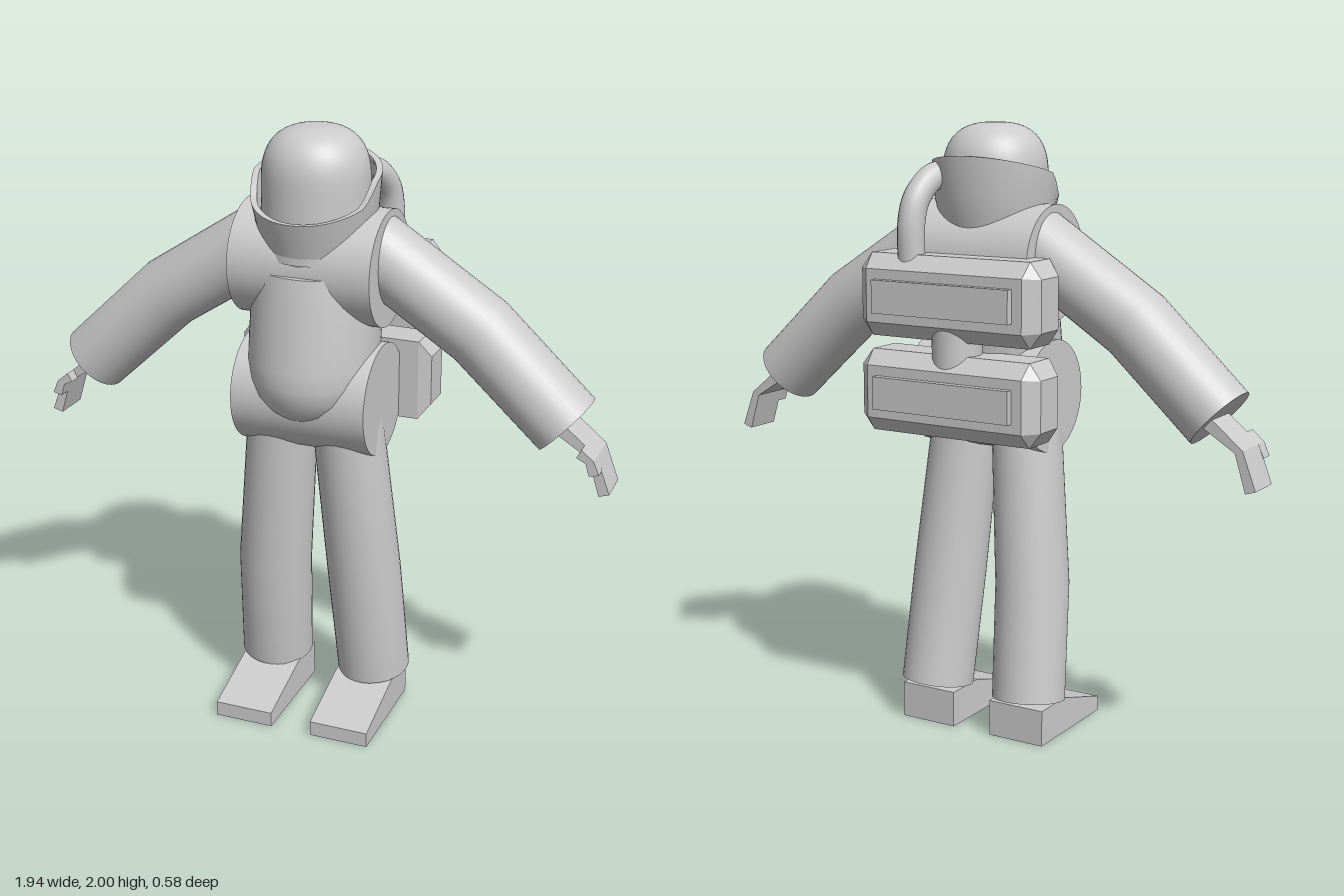
import * as THREE from 'three';
import { toCreasedNormals } from 'three/addons/utils/BufferGeometryUtils.js';
import { ConvexGeometry } from 'three/addons/geometries/ConvexGeometry.js';

const material = new THREE.MeshStandardMaterial({ color: 0xcccccc });
const V = (x, y, z) => new THREE.Vector3(x, y, z);
const P = (list) => list.map(([x, y]) => new THREE.Vector2(x, y));

function add(parent, name, geometry, x = 0, y = 0, z = 0) {
  const mesh = new THREE.Mesh(geometry, material);
  mesh.name = name;
  mesh.position.set(x, y, z);
  parent.add(mesh);
  return mesh;
}

// Capped round limb along straight segments, mitred at each joint
function limb(points, radii, sides = 32) {
  const n = points.length;
  const dirs = points.slice(1).map((p, i) => p.clone().sub(points[i]).normalize());
  const u = V(0, 0, 1).cross(dirs[0]).normalize();
  const v = dirs[0].clone().cross(u);
  const pos = [], index = [];
  points.forEach((p, i) => {
    const before = dirs[Math.max(i - 1, 0)], after = dirs[Math.min(i, n - 2)];
    const normal = before.clone().add(after).normalize();
    for (let j = 0; j < sides; j++) {
      const a = (j / sides) * Math.PI * 2;
      const q = u.clone().multiplyScalar(Math.cos(a) * radii[i]).addScaledVector(v, Math.sin(a) * radii[i]);
      q.addScaledVector(before, -q.dot(normal) / before.dot(normal)).add(p);
      pos.push(q.x, q.y, q.z);
    }
  });
  const first = n * sides, last = first + 1;
  pos.push(...points[0].toArray(), ...points[n - 1].toArray());
  for (let j = 0; j < sides; j++) {
    const k = (j + 1) % sides, end = (n - 1) * sides;
    for (let i = 0; i < n - 1; i++) {
      const a = i * sides + j, b = i * sides + k;
      index.push(a, b, b + sides, a, b + sides, a + sides);
    }
    index.push(first, k, j, last, end + j, end + k);
  }
  const g = new THREE.BufferGeometry();
  g.setAttribute('position', new THREE.Float32BufferAttribute(pos, 3));
  g.setIndex(index);
  return toCreasedNormals(g, 0.7);
}

// Outline in x, y given thickness from z0 to z1
function plate(outline, z0, z1) {
  const g = new THREE.ExtrudeGeometry(new THREE.Shape(P(outline)), { depth: z1 - z0, bevelEnabled: false });
  return g.translate(0, 0, z0);
}

function crossCylinder(radius, width) {
  return new THREE.CylinderGeometry(radius, radius, width, 48).rotateZ(Math.PI / 2);
}

// Round torso leaning forward into a domed belly
function torsoGeometry() {
  const g = new THREE.LatheGeometry(P([[0, 1.05], [0.05, 1.055], [0.1, 1.075], [0.15, 1.115], [0.185, 1.16],
    [0.203, 1.21], [0.21, 1.27], [0.21, 1.56], [0, 1.56]]), 48);
  const p = g.attributes.position;
  for (let i = 0; i < p.count; i++) p.setZ(i, p.getZ(i) + 0.025 + (1.56 - p.getY(i)) * 0.16);
  return toCreasedNormals(g, 0.7);
}

// Helmet: cylinder with a soft squared-off dome
function helmetGeometry() {
  const pts = [[0.17, 1.6]];
  for (let i = 0; i <= 14; i++) {
    const a = (i / 14) * Math.PI / 2;
    pts.push([0.17 * Math.cos(a) ** 0.75, 1.82 + 0.18 * Math.sin(a) ** 0.75]);
  }
  pts[pts.length - 1][0] = 0;
  return new THREE.LatheGeometry(P(pts), 48);
}

// Flared collar whose rim drops towards the front
function collarGeometry() {
  const rim = [[-1, 1.9], [0.02, 1.845], [0.35, 1.775], [1, 1.735]];
  const rimHeight = (c) => {
    let i = 0;
    while (i < 2 && c > rim[i + 1][0]) i++;
    const [a, b] = [rim[i], rim[i + 1]];
    return THREE.MathUtils.mapLinear(c, a[0], b[0], a[1], b[1]);
  };
  const g = new THREE.LatheGeometry(P([[0.2, 0], [0.2, 0.3], [0.2, 0.6], [0.2, 1], [0.18, 1], [0.18, 0.5], [0.18, 0.2]]), 64);
  const p = g.attributes.position;
  for (let i = 0; i < p.count; i++) {
    const x = p.getX(i), z = p.getZ(i);
    const y = 1.58 + p.getY(i) * (rimHeight(z / Math.hypot(x, z)) - 1.58);
    const s = (y < 1.74 ? 0.155 + (y - 1.6) * 0.3 : 0.197 + (y - 1.74) * 0.08) / 0.2;
    p.setXYZ(i, x * s, y, z * s);
  }
  return toCreasedNormals(g, 0.7);
}

// Pack with chamfered ends and back
function packGeometry() {
  const pts = [];
  for (const sx of [-1, 1]) for (const sy of [-1, 1]) {
    pts.push(V(sx * 0.33, sy * 0.082, -0.12), V(sx * 0.33, sy * 0.082, -0.225),
      V(sx * 0.29, sy * 0.133, -0.105), V(sx * 0.29, sy * 0.133, -0.225),
      V(sx * 0.285, sy * 0.085, -0.268));
  }
  return new ConvexGeometry(pts);
}

// Arm, hand, leg and boot of the left side
function buildSide(name) {
  const side = new THREE.Group();
  side.name = name;
  add(side, 'arm', limb([V(0.15, 1.64, 0.017), V(0.53, 1.395, 0.017), V(0.815, 1.13, 0.017)], [0.118, 0.118, 0.118]));
  add(side, 'hand', plate([[0.78, 1.12], [0.9, 1.045], [0.937, 0.925], [0.97, 0.935], [0.925, 1.055], [0.81, 1.15]], -0.06, 0.065));
  add(side, 'thumb', plate([[0.87, 1.06], [0.9, 1.045], [0.912, 1.005], [0.943, 1.012], [0.925, 1.055], [0.885, 1.088]], 0.06, 0.105));
  add(side, 'leg', limb([V(0.108, 1.1, 0.067), V(0.16, 0.51, 0.025), V(0.178, 0.13, -0.028)], [0.114, 0.122, 0.121]));
  // Boot profile runs along z, then is turned to face forward
  const boot = plate([[-0.29, 0], [0.1, 0], [0.1, 0.12], [-0.05, 0.12], [-0.29, 0.05]], -0.1, 0.1);
  add(side, 'boot', boot.rotateY(Math.PI / 2), 0.17);
  return side;
}

export function createModel() {
  const model = new THREE.Group();
  model.name = 'spacesuit';

  // Body
  add(model, 'torso', torsoGeometry());
  add(model, 'shoulders', crossCylinder(0.185, 0.47), 0, 1.565, 0.03);
  add(model, 'hips', crossCylinder(0.183, 0.45), 0, 1.135, 0.045);
  add(model, 'helmet', helmetGeometry(), 0, 0, 0.052);
  add(model, 'collar', collarGeometry(), 0, 0, 0.06);

  // Limbs
  const right = buildSide('rightSide');
  right.scale.x = -1;
  model.add(buildSide('leftSide'), right);

  // Backpack
  for (const [name, y] of [['upperPack', 1.462], ['lowerPack', 1.153]]) {
    add(model, name, packGeometry(), 0, y, 0);
    add(model, name + 'Panel', new THREE.BoxGeometry(0.5, 0.106, 0.05), 0, y, -0.267);
  }
  add(model, 'packConnector', new THREE.CylinderGeometry(0.08, 0.08, 0.2, 32), 0, 1.307, -0.18);

  // Air hose from helmet to upper pack
  const hosePath = new THREE.CatmullRomCurve3([V(0.115, 1.845, -0.05), V(0.135, 1.825, -0.12),
    V(0.15, 1.765, -0.18), V(0.155, 1.69, -0.202), V(0.155, 1.56, -0.202)]);
  add(model, 'airHose', new THREE.TubeGeometry(hosePath, 24, 0.044, 16));
  return model;
}
